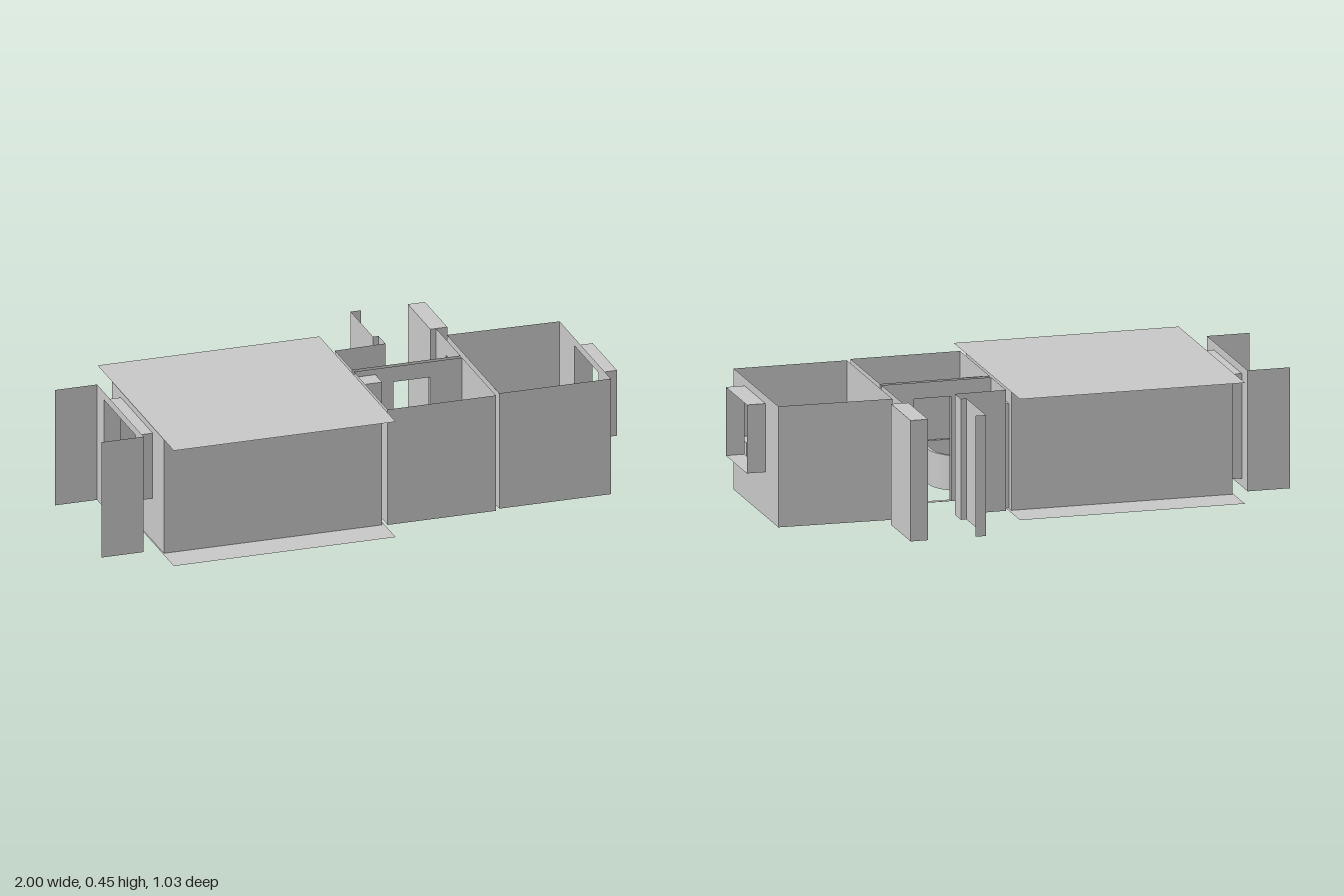
import * as THREE from 'three';

const H = 0.45; // wall height
const thin = new THREE.MeshStandardMaterial({ color: 0xcccccc, side: THREE.DoubleSide });
const solid = new THREE.MeshStandardMaterial({ color: 0xcccccc });

function add(parent, name, geometry, material = thin) {
  const mesh = new THREE.Mesh(geometry, material);
  mesh.name = name;
  parent.add(mesh);
  return mesh;
}

function room(parent, name) {
  const group = new THREE.Group();
  group.name = name;
  parent.add(group);
  return group;
}

// Upright sheet from plan point a to b; holes are outlines of [distance from a, height]
function wall(parent, name, a, b, holes = []) {
  const dx = b[0] - a[0], dz = b[1] - a[1], len = Math.hypot(dx, dz);
  const toPoints = (list) => list.map(([u, v]) => new THREE.Vector2(u, v));
  const shape = new THREE.Shape(toPoints([[0, 0], [len, 0], [len, H], [0, H]]));
  for (const hole of holes) shape.holes.push(new THREE.Path(toPoints(hole)));
  const mesh = add(parent, name, new THREE.ShapeGeometry(shape));
  mesh.rotation.y = Math.atan2(-dz, dx);
  mesh.position.set(a[0], 0, a[1]);
}

// Run of walls through plan points
function walls(parent, name, points) {
  for (let i = 0; i + 1 < points.length; i++) wall(parent, name, points[i], points[i + 1]);
}

// Open-ended lining of a hole: outline of [along, height] swept from d0 to d1
function reveal(parent, name, axis, outline, d0, d1) {
  const pos = [], index = [];
  outline.forEach((p, i) => {
    const q = outline[(i + 1) % outline.length];
    for (const [[u, v], d] of [[p, d0], [q, d0], [q, d1], [p, d1]]) {
      if (axis === 'x') pos.push(d, v, u);
      else pos.push(u, v, d);
    }
    const k = i * 4;
    index.push(k, k + 1, k + 2, k, k + 2, k + 3);
  });
  const g = new THREE.BufferGeometry();
  g.setAttribute('position', new THREE.Float32BufferAttribute(pos, 3));
  g.setIndex(index);
  g.computeVertexNormals();
  add(parent, name, g);
}

function box(parent, name, [x0, x1], [y0, y1], [z0, z1]) {
  const mesh = add(parent, name, new THREE.BoxGeometry(x1 - x0, y1 - y0, z1 - z0), solid);
  mesh.position.set((x0 + x1) / 2, (y0 + y1) / 2, (z0 + z1) / 2);
}

const rect = (u0, u1, v0, v1) => [[u0, v0], [u1, v0], [u1, v1], [u0, v1]];
const shift = (outline, start) => outline.map(([u, v]) => [u - start, v]);

// Corner bath outline, inset by d
function bathOutline(d, Type) {
  const x0 = 0.08 + d, x1 = 0.235 - d, z0 = 0.12 + d, z1 = 0.39 - d, r = 0.135 - d;
  const s = new Type();
  s.moveTo(x0, z0);
  s.lineTo(x1 - r, z0);
  s.absarc(x1 - r, z0 + r, r, -Math.PI / 2, 0, false);
  s.lineTo(x1, z1);
  s.lineTo(x0, z1);
  s.closePath();
  return s;
}

function extrudeUp(shape, y0, y1) {
  const g = new THREE.ExtrudeGeometry(shape, { depth: y1 - y0, bevelEnabled: false, curveSegments: 16 });
  g.rotateX(Math.PI / 2);
  g.translate(0, y1, 0);
  return g;
}

export function createModel() {
  const model = new THREE.Group();
  model.name = 'apartment';

  // Openings: hall doors, bathroom door, bedroom window, balcony door joined to window
  const hallDoor = rect(-0.16, -0.01, 0.001, 0.39);
  const bathDoor = rect(0.225, 0.365, 0.001, 0.39);
  const window = rect(-0.025, 0.245, 0.165, 0.42);
  const balconyDoor = [[-0.09, 0.03], [0.05, 0.03], [0.05, 0.165], [0.265, 0.165], [0.265, 0.42], [-0.09, 0.42]];

  // Living room with oversized floor and ceiling sheets
  const living = room(model, 'livingRoom');
  walls(living, 'livingFrontWall', [[-0.775, 0.39], [0.055, 0.39]]);
  walls(living, 'livingBackWall', [[-0.775, -0.19], [0.055, -0.19]]);
  wall(living, 'livingBalconyWall', [-0.775, -0.19], [-0.775, 0.39], [shift(balconyDoor, -0.19)]);
  wall(living, 'livingHallWall', [0.055, -0.19], [0.055, 0.39], [shift(hallDoor, -0.19)]);
  for (const [name, y] of [['floor', 0], ['ceiling', H]]) {
    const sheet = add(living, name, new THREE.PlaneGeometry(0.845, 0.85));
    sheet.rotation.x = -Math.PI / 2;
    sheet.position.set(-0.3575, y, 0.09);
  }

  // Balcony, open on its outer side
  const balcony = room(model, 'balcony');
  wall(balcony, 'balconyInnerWall', [-0.84, -0.165], [-0.84, 0.355], [shift(balconyDoor, -0.165)]);
  for (const z of [-0.165, 0.355]) walls(balcony, 'balconySideWall', [[-1, z], [-0.84, z]]);
  reveal(balcony, 'balconyDoorReveal', 'x', balconyDoor, -0.84, -0.775);

  // Hall with entrance recess
  const hall = room(model, 'hall');
  wall(hall, 'hallLivingWall', [0.075, -0.19], [0.075, 0], [shift(hallDoor, -0.19)]);
  wall(hall, 'hallBathroomWall', [0.075, 0], [0.487, 0], [shift(bathDoor, 0.075)]);
  wall(hall, 'hallBedroomWall', [0.487, -0.27], [0.487, 0], [shift(hallDoor, -0.27)]);
  walls(hall, 'entranceWall', [[0.075, -0.19], [0.268, -0.195], [0.268, -0.27], [0.247, -0.27], [0.247, -0.52], [0.287, -0.52]]);
  box(hall, 'entranceCupboard', [0.465, 0.53], [0, H], [-0.52, -0.27]);
  reveal(hall, 'livingDoorReveal', 'x', hallDoor, 0.055, 0.075);
  reveal(hall, 'bedroomDoorReveal', 'x', hallDoor, 0.487, 0.505);
  reveal(hall, 'bathroomDoorReveal', 'z', bathDoor, 0, 0.02);

  // Bathroom
  const bathroom = room(model, 'bathroom');
  walls(bathroom, 'bathroomWall', [[0.075, 0.02], [0.075, 0.397], [0.487, 0.397], [0.487, 0.02]]);
  wall(bathroom, 'bathroomDoorWall', [0.075, 0.02], [0.487, 0.02], [shift(bathDoor, 0.075)]);
  box(bathroom, 'tallCabinet', [0.08, 0.155], [0, 0.43], [0.025, 0.1]);
  box(bathroom, 'washstand', [0.4, 0.465], [0, 0.22], [0.025, 0.125]);
  box(bathroom, 'washstandTap', [0.394, 0.4], [0.17, 0.22], [0.045, 0.11]);
  box(bathroom, 'toilet', [0.36, 0.465], [0, 0.13], [0.165, 0.22]);
  box(bathroom, 'lowCabinet', [0.24, 0.375], [0, 0.18], [0.32, 0.39]);

  // Corner bath: rim wall and sunken base
  const bath = room(bathroom, 'cornerBath');
  const rim = bathOutline(0, THREE.Shape);
  rim.holes.push(bathOutline(0.012, THREE.Path));
  add(bath, 'bathRim', extrudeUp(rim, 0, 0.13));
  add(bath, 'bathBase', extrudeUp(bathOutline(0.012, THREE.Shape), 0, 0.04));

  // Bedroom
  const bedroom = room(model, 'bedroom');
  walls(bedroom, 'bedroomFrontWall', [[0.505, 0.382], [0.93, 0.382]]);
  walls(bedroom, 'bedroomBackWall', [[0.505, -0.2], [0.93, -0.19]]);
  wall(bedroom, 'bedroomDoorWall', [0.505, -0.2], [0.505, 0.382], [shift(hallDoor, -0.2)]);
  wall(bedroom, 'bedroomWindowWall', [0.93, -0.19], [0.93, 0.382], [shift(window, -0.19)]);
  reveal(bedroom, 'bedroomWindowReveal', 'x', window, 0.93, 1);
  box(bedroom, 'wardrobe', [0.51, 0.615], [0, 0.31], [-0.01, 0.095]);
  box(bedroom, 'bedsideCabinet', [0.84, 0.915], [0, 0.2], [0.27, 0.365]);

  return model;
}
